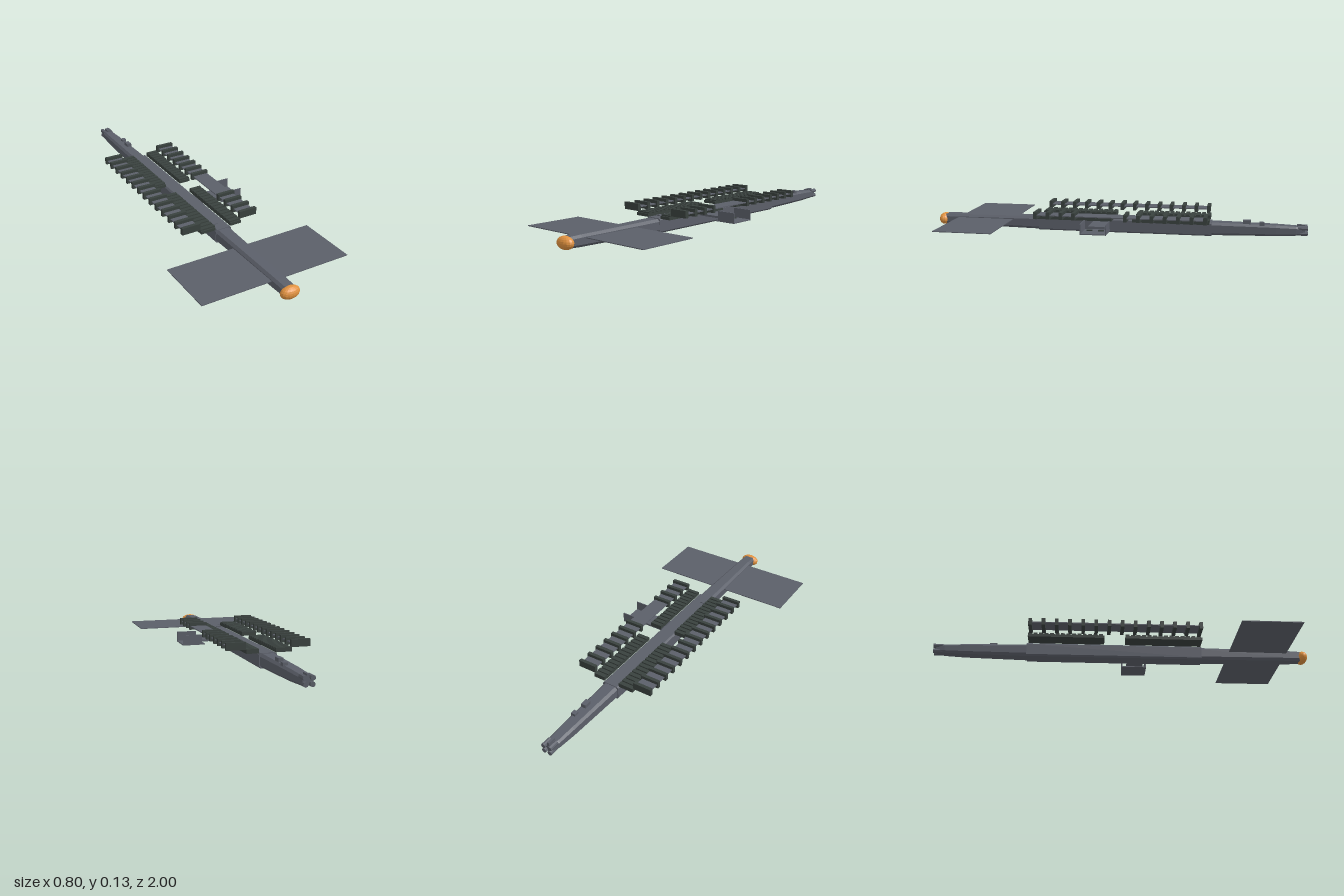
import * as THREE from 'three';

const mat = (name, color, opts = {}) => {
  const m = new THREE.MeshStandardMaterial({ color, flatShading: true, ...opts });
  m.name = name;
  return m;
};

export function createModel() {
  const root = new THREE.Group();
  const grey = mat('hullGrey', 0x5b5f69);
  const green = mat('darkGreen', 0x39413e);
  const orange = mat('domeOrange', 0xe0913f);

  const add = (name, geo, material, parent = root) => {
    const mesh = new THREE.Mesh(geo, material);
    mesh.name = name;
    parent.add(mesh);
    return mesh;
  };
  // Box given by its limits on each axis
  const box = (name, material, x0, x1, y0, y1, z0, z1, parent) =>
    add(name, new THREE.BoxGeometry(x1 - x0, y1 - y0, z1 - z0), material, parent)
      .position.set((x0 + x1) / 2, (y0 + y1) / 2, (z0 + z1) / 2);
  const group = (name) => {
    const g = new THREE.Group();
    g.name = name;
    root.add(g);
    return g;
  };

  // Eight-sided hull lofted through sections [z, halfWidth, bottom, top, chamfer]
  const loft = (sections) => {
    const rings = sections.map(([z, w, b, t, c]) => [
      [w, b + c], [w, t - c], [w - c, t], [c - w, t],
      [-w, t - c], [-w, b + c], [c - w, b], [w - c, b],
    ].map(([x, y]) => [x, y, z]));
    const p = [];
    const tri = (...v) => v.forEach((q) => p.push(...q));
    for (let s = 0; s + 1 < rings.length; s++) {
      for (let i = 0; i < 8; i++) {
        const j = (i + 1) % 8, a = rings[s], b = rings[s + 1];
        tri(a[i], a[j], b[j]);
        tri(a[i], b[j], b[i]);
      }
    }
    const back = rings[0], front = rings[rings.length - 1];
    for (let i = 1; i < 7; i++) {
      tri(front[0], front[i], front[i + 1]);
      tri(back[0], back[i + 1], back[i]);
    }
    const geo = new THREE.BufferGeometry();
    geo.setAttribute('position', new THREE.Float32BufferAttribute(p, 3));
    geo.computeVertexNormals();
    return geo;
  };

  // Hull: tapered tail, straight middle, tapered bow
  add('tailHull', loft([
    [-0.985, 0.024, 0.022, 0.06, 0.008], [-0.94, 0.031, 0.018, 0.065, 0.01],
    [-0.84, 0.035, 0.013, 0.069, 0.011], [-0.51, 0.041, 0.006, 0.074, 0.013],
  ]), grey);
  add('middleHull', loft([
    [-0.51, 0.045, 0.003, 0.077, 0.008], [0.42, 0.045, 0.003, 0.077, 0.008],
  ]), grey);
  add('bowHull', loft([
    [0.42, 0.042, 0.006, 0.074, 0.013], [0.9, 0.035, 0.013, 0.07, 0.012],
    [0.96, 0.033, 0.015, 0.068, 0.012],
  ]), grey);

  // Bow dome
  const dome = add('bowDome', new THREE.SphereGeometry(1, 16, 10), orange);
  dome.scale.set(0.051, 0.032, 0.03);
  dome.position.set(0, 0.04, 0.97);

  // Flat forward wing
  box('forwardWing', grey, -0.4, 0.4, 0.051, 0.055, 0.57, 0.88);

  // Inner slatted decks, two per side
  const decks = [[-0.125, -0.043], [0.043, 0.105]];
  for (const [x0, x1] of decks) {
    for (const [z0, z1] of [[-0.5, -0.1], [0.01, 0.415]]) {
      const deck = group('slattedDeck');
      box('deckBase', green, x0, x1, 0.075, 0.09, z0, z1, deck);
      const n = 14, step = (z1 - z0) / n;
      for (let i = 0; i < n; i++) {
        const z = z0 + i * step;
        box('deckSlat', green, x0, x1, 0.09, 0.097, z, z + step * 0.72, deck);
      }
    }
  }

  // Outer racks: thin shelf crossed by upright blocks, with a gap beside the dock
  const rack = (name, x0, x1, skip) => {
    const g = group(name);
    box('rackShelf', grey, x0 + 0.008, x1 - 0.006, 0.11, 0.115, -0.485, 0.4, g);
    for (let i = 0; i < 14; i++) {
      if (skip.includes(i)) continue;
      const z = -0.484 + i * 0.0677;
      box('rackBlock', green, x0, x1, 0.094, 0.131, z - 0.009, z + 0.009, g);
    }
  };
  rack('rightRack', -0.225, -0.125, []);
  rack('leftRack', 0.104, 0.203, [7, 8, 9]);

  // Side dock: arm, floor and two upright ends
  const dock = group('sideDock');
  box('dockArm', grey, 0.04, 0.185, 0.052, 0.062, 0.03, 0.12, dock);
  box('dockFloor', grey, 0.165, 0.285, 0.04, 0.045, 0.005, 0.14, dock);
  box('dockFrontWall', grey, 0.181, 0.285, 0.042, 0.094, 0.135, 0.14, dock);
  box('dockBackWall', grey, 0.181, 0.285, 0.042, 0.094, 0.005, 0.01, dock);
  box('dockLatch', green, 0.2, 0.212, 0.045, 0.05, 0.03, 0.06, dock);
  box('dockLatch', green, 0.2, 0.212, 0.045, 0.05, 0.09, 0.12, dock);

  // Deck fittings along the tail and middle
  box('tailHatch', grey, 0, 0.026, 0.068, 0.09, -0.71, -0.67);
  box('tailVent', grey, 0.008, 0.032, 0.066, 0.083, -0.78, -0.755);
  box('middleHatch', grey, -0.03, -0.004, 0.075, 0.081, 0.345, 0.37);

  // Stern thruster cluster
  for (const [x, y] of [[-0.018, 0.058], [0.018, 0.058], [-0.016, 0.03], [0.016, 0.03]]) {
    const t = add('sternThruster', new THREE.CylinderGeometry(0.012, 0.012, 0.05, 8), grey);
    t.rotation.x = Math.PI / 2;
    t.position.set(x, y, -0.975);
  }
  box('sternFin', grey, -0.006, 0.006, 0.055, 0.074, -0.985, -0.945);

  return root;
}
